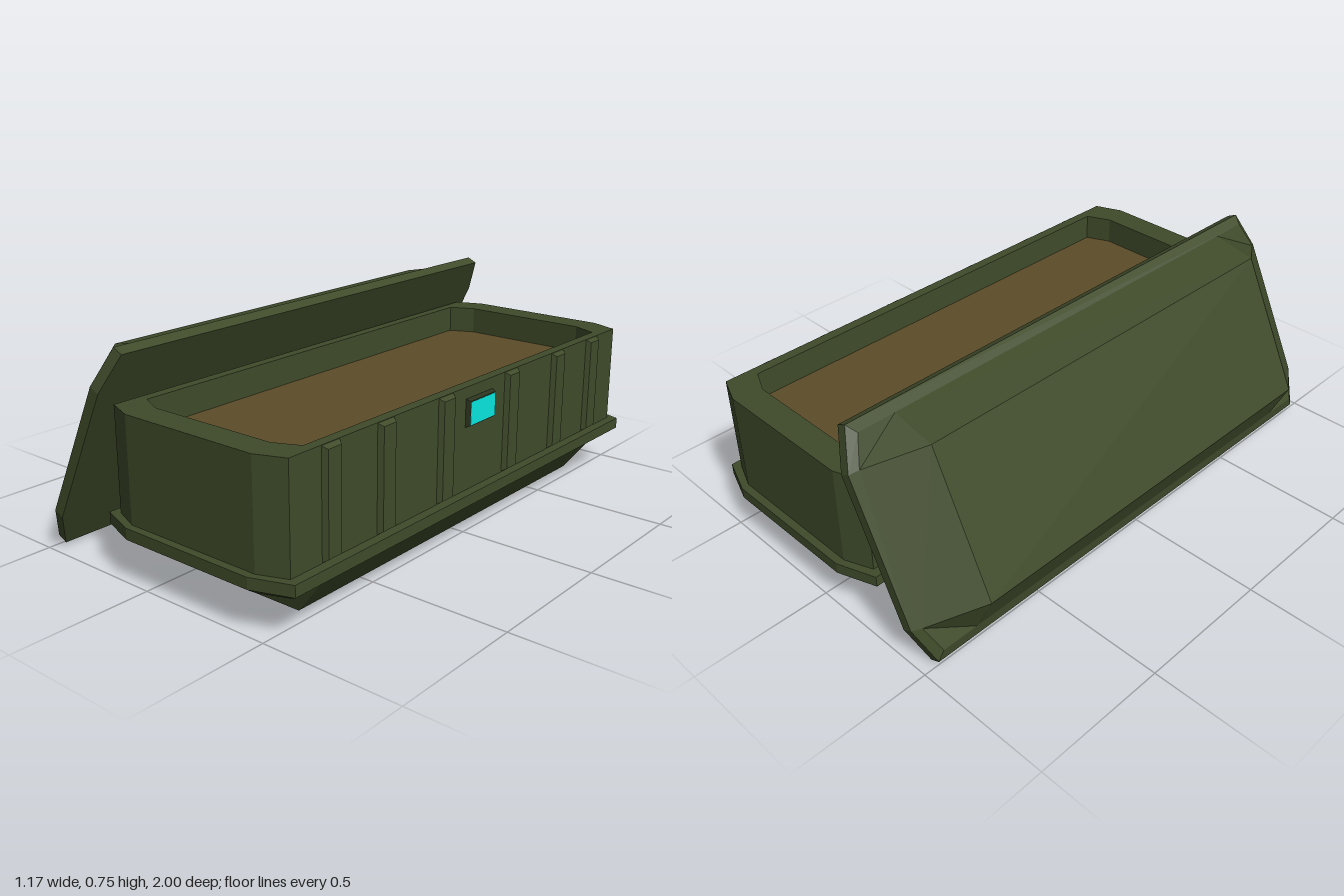
import * as THREE from 'three';

const mat = (color) => new THREE.MeshStandardMaterial({ color, flatShading: true });

// Rectangle with cut corners at height y: half sizes hx, hz and corner cuts cx, cz
function ring(y, hx, hz, cx, cz) {
  const a = hx - cx, b = hz - cz;
  return [[hx, -b], [hx, b], [a, hz], [-a, hz], [-hx, b], [-hx, -b], [-a, -hz], [a, -hz]]
    .map(([x, z]) => new THREE.Vector3(x, y, z));
}

// Skin a stack of rings, optionally closing the first (facing down) and last (facing up)
function loft(rings, capStart, capEnd) {
  const pts = [];
  const tri = (a, b, c) => {
    const area = b.clone().sub(a).cross(c.clone().sub(a)).length();
    if (area > 1e-8) for (const p of [a, b, c]) pts.push(p.x, p.y, p.z);
  };
  const n = rings[0].length;
  for (let r = 0; r < rings.length - 1; r++) {
    for (let i = 0; i < n; i++) {
      const j = (i + 1) % n, lo = rings[r], hi = rings[r + 1];
      tri(lo[i], hi[i], hi[j]);
      tri(lo[i], hi[j], lo[j]);
    }
  }
  const first = rings[0], last = rings[rings.length - 1];
  for (let i = 1; i < n - 1; i++) {
    if (capStart) tri(first[0], first[i], first[i + 1]);
    if (capEnd) tri(last[0], last[i + 1], last[i]);
  }
  const g = new THREE.BufferGeometry();
  g.setAttribute('position', new THREE.Float32BufferAttribute(pts, 3));
  g.computeVertexNormals();
  return g;
}

// Box standing out along +x whose outer face is smaller than its base
function bevelPlate(depth, height, width, inset) {
  const g = new THREE.BoxGeometry(depth, height, width).toNonIndexed();
  const p = g.attributes.position;
  for (let i = 0; i < p.count; i++) {
    if (p.getX(i) > 0) {
      p.setY(i, p.getY(i) - Math.sign(p.getY(i)) * inset);
      p.setZ(i, p.getZ(i) - Math.sign(p.getZ(i)) * inset);
    }
  }
  g.computeVertexNormals();
  return g;
}

export function createModel() {
  const model = new THREE.Group();
  model.name = 'openCrate';
  const green = mat(0x3f4b2a), darkGreen = mat(0x2c331f), brown = mat(0x5c4c29), cyan = mat(0x08e8e0);
  const add = (parent, name, geometry, material, x = 0, y = 0, z = 0) => {
    const m = new THREE.Mesh(geometry, material);
    m.name = name;
    m.position.set(x, y, z);
    parent.add(m);
    return m;
  };

  const crate = new THREE.Group();
  crate.name = 'crate';
  crate.position.x = 0.179;
  model.add(crate);

  // Tapered tray with large corner facets, a small ledge and a rim; the lid is the same, turned over
  const tray = loft([
    ring(0, 0.268, 0.79, 0, 0),
    ring(0.13, 0.37, 0.97, 0.102, 0.18),
    ring(0.13, 0.37, 0.97, 0.102, 0.04),
    ring(0.15, 0.404, 1, 0.14, 0.05),
    ring(0.19, 0.404, 1, 0.14, 0.05),
  ], true, true);
  add(crate, 'base', tray, green);

  // Hollow body and its filled floor
  const floorRing = ring(0.455, 0.332, 0.871, 0.09, 0.04);
  add(crate, 'body', loft([
    ring(0.19, 0.37, 0.972, 0.102, 0.04),
    ring(0.555, 0.37, 0.972, 0.102, 0.04),
    ring(0.555, 0.332, 0.871, 0.09, 0.04),
    floorRing,
  ], false, false), green);
  add(crate, 'floor', loft([floorRing], false, true), brown);

  // Ribs along both long sides
  const rib = bevelPlate(0.02, 0.365, 0.083, 0.012);
  for (const side of [1, -1]) {
    for (const z of [0.757, 0.503, 0.193, -0.193, -0.503, -0.757]) {
      const m = add(crate, 'rib', rib, green, side * 0.377, 0.3725, z);
      if (side < 0) m.rotation.y = Math.PI;
    }
  }

  // Lit panel on the open side
  add(crate, 'panelFrame', bevelPlate(0.018, 0.1, 0.16, 0.007), darkGreen, 0.377, 0.465, 0);
  add(crate, 'panelScreen', new THREE.BoxGeometry(0.004, 0.08, 0.145), cyan, 0.385, 0.465, 0);

  // Lid leaning against the closed side
  const lid = add(model, 'lid', tray, green, -0.465, 0.455, 0);
  lid.rotation.z = Math.atan2(-0.896, -0.445);

  return model;
}
